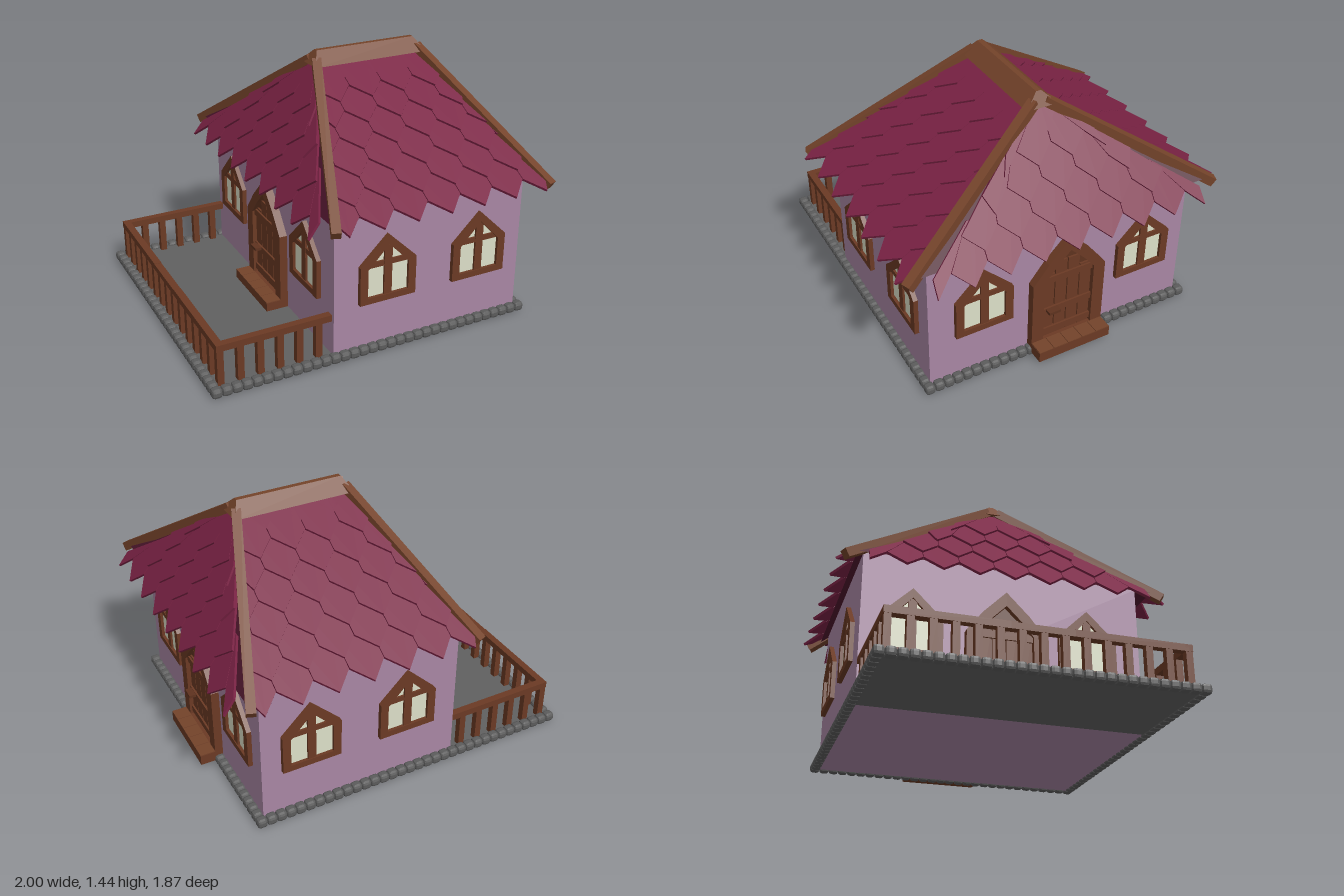
import * as THREE from 'three';
import { mergeGeometries } from 'three/addons/utils/BufferGeometryUtils.js';
import { RoundedBoxGeometry } from 'three/addons/geometries/RoundedBoxGeometry.js';
import { ConvexGeometry } from 'three/addons/geometries/ConvexGeometry.js';

const mat = (color, side = THREE.FrontSide) => new THREE.MeshStandardMaterial({ color, side, flatShading: true });
const WALL = mat(0xa886a4), ROOF = mat(0x7a2244), UNDER = mat(0x4d162c, THREE.DoubleSide), WOOD = mat(0x6b3a24),
  PLANK = mat(0x5e321f), BEAM = mat(0x74432a), STONE = mat(0x5c5c5c), FLOOR = mat(0x606060), GLASS = mat(0xdcdfc8);
const V = (x, y, z) => new THREE.Vector3(x, y, z);

function add(parent, name, geometry, material) {
  const m = new THREE.Mesh(geometry, material);
  m.name = name;
  parent.add(m);
  return m;
}

// Box given by its min and max corners
function box(x0, x1, y0, y1, z0, z1) {
  return new THREE.BoxGeometry(x1 - x0, y1 - y0, z1 - z0)
    .translate((x0 + x1) / 2, (y0 + y1) / 2, (z0 + z1) / 2);
}

// Symmetric outline from its right half, listed bottom to peak
function outline(half) {
  const left = half.filter(([x]) => x > 0).map(([x, y]) => [-x, y]).reverse();
  return [...half, ...left].map(([x, y]) => new THREE.Vector2(x, y));
}

function plate(half, depth, holeHalf) {
  const shape = new THREE.Shape(outline(half));
  if (holeHalf) shape.holes.push(new THREE.Path(outline(holeHalf)));
  return new THREE.ExtrudeGeometry(shape, { depth, bevelEnabled: false });
}

function makeWindow() {
  const g = new THREE.Group();
  g.name = 'window';
  const inner = [[0.12, 0.335], [0.12, 0.5], [0, 0.625]];
  add(g, 'windowFrame', plate([[0.165, 0.3], [0.165, 0.52], [0, 0.68]], 0.025, inner), WOOD);
  add(g, 'windowPane', plate(inner, 0.008), GLASS);
  add(g, 'windowMullion', box(-0.023, 0.023, 0.33, 0.62, 0, 0.02), WOOD);
  add(g, 'windowCrossbar', box(-0.12, 0.12, 0.505, 0.535, 0, 0.019), WOOD);
  return g;
}

function makeDoor() {
  const g = new THREE.Group();
  g.name = 'door';
  const inner = [[0.15, 0.06], [0.15, 0.475], [0.08, 0.56], [0, 0.64]];
  add(g, 'doorFrame', plate([[0.22, 0.02], [0.22, 0.475], [0.13, 0.59], [0, 0.72]], 0.045, inner), WOOD);
  add(g, 'doorBack', plate(inner, 0.012), PLANK);
  // Vertical planks reach up under the pointed arch
  for (let i = 0; i < 4; i++) {
    const x = -0.15 + i * 0.075;
    const top = i === 0 || i === 3 ? 0.5 : 0.57;
    add(g, 'doorPlank', box(x + 0.003, x + 0.072, 0.06, top, 0, 0.022), WOOD);
  }
  for (const y of [0.1, 0.24, 0.45])
    add(g, 'doorCrossbar', box(-0.15, 0.15, y, y + 0.04, 0, 0.032), WOOD);
  add(g, 'doorHandle', box(-0.13, -0.06, 0.262, 0.278, 0.03, 0.07), PLANK);
  add(g, 'doorStep', box(-0.22, 0.22, 0.02, 0.08, 0, 0.13), WOOD);
  // Plank boards on the step
  for (let i = 0; i < 5; i++)
    add(g, 'stepBoard', box(-0.218 + i * 0.088, -0.134 + i * 0.088, 0.078, 0.084, 0.045, 0.13), BEAM);
  return g;
}

function place(parent, part, x, z, turn) {
  part.position.set(x, 0, z);
  part.rotation.y = turn;
  parent.add(part);
}

// One slope of overlapping pointed shingles, trimmed along the hips
function shingleSlope(topMid, bottomMid, halfTop, halfBottom, rows) {
  const up = topMid.clone().sub(bottomMid);
  const L = up.length();
  up.normalize();
  const flat = V(bottomMid.x - topMid.x, 0, bottomMid.z - topMid.z).normalize();
  const u = V(0, 1, 0).cross(flat).normalize();
  const n = u.clone().cross(up);
  const basis = new THREE.Matrix4().makeBasis(u, up, n).setPosition(topMid);
  const pitch = L / rows, w = 0.195, point = 0.1, parts = [];
  for (let r = 0; r < rows; r++) {
    const tip = -L + r * pitch;
    const top = Math.min(tip + pitch + point + 0.06, 0);
    const side = Math.min(tip + point, top - 0.01);
    const limit = (y) => halfTop + (halfBottom - halfTop) * (-y / L) + 0.02;
    const shift = r % 2 ? 0.5 : 0;
    for (let i = -6; i <= 6; i++) {
      const c = (i + shift) * w;
      if (Math.abs(c) > limit(side) + w * 0.3) continue;
      const pts = [[c, tip], [c + w * 0.49, side], [c + w * 0.49, top], [c - w * 0.49, top], [c - w * 0.49, side]]
        .map(([x, y]) => new THREE.Vector2(THREE.MathUtils.clamp(x, -limit(y), limit(y)), y - top));
      const clean = pts.filter((p, k) => p.distanceTo(pts[(k + 1) % pts.length]) > 1e-4);
      if (clean.length < 3) continue;
      const geo = new THREE.ExtrudeGeometry(new THREE.Shape(clean), { depth: 0.014, bevelEnabled: false });
      geo.rotateX(-0.08).translate(0, top, -0.006);
      parts.push(geo.applyMatrix4(basis));
    }
  }
  return mergeGeometries(parts);
}

// Square beam between two points, with one face turned to the sky
function beam(a, b, width, height) {
  const dir = b.clone().sub(a);
  const x = dir.clone().cross(V(0, 1, 0)).normalize();
  const z = dir.clone().normalize();
  const y = z.clone().cross(x);
  const m = new THREE.Matrix4().makeBasis(x, y, z).setPosition(a.clone().add(b).multiplyScalar(0.5));
  return new THREE.BoxGeometry(width, height, dir.length()).applyMatrix4(m);
}

function makeRoof() {
  const g = new THREE.Group();
  g.name = 'roof';
  const cx = 0.27, topY = 1.375;
  for (const s of [1, -1]) {
    add(g, 'longSlopeShingles', shingleSlope(V(cx, topY, 0), V(cx, 0.78, s * 0.92), 0.3, 0.64, 7), ROOF);
    add(g, 'endSlopeShingles', shingleSlope(V(cx + s * 0.3, topY, 0), V(cx + s * 0.71, 0.735, 0), 0, 0.87, 5), ROOF);
  }
  // Thin sheathing under the shingles
  const e = [V(cx - 0.64, 0.835, 0.83), V(cx + 0.64, 0.835, 0.83), V(cx + 0.64, 0.835, -0.83), V(cx - 0.64, 0.835, -0.83)];
  const a = V(cx - 0.3, 1.36, 0), b = V(cx + 0.3, 1.36, 0);
  const tris = [e[0], e[1], b, e[0], b, a, e[2], e[3], a, e[2], a, b, e[1], e[2], b, e[3], e[0], a];
  const sheath = new THREE.BufferGeometry().setFromPoints(tris);
  sheath.computeVertexNormals();
  add(g, 'roofSheathing', sheath, UNDER);
  // Hip beams and the ridge cap
  for (const sx of [1, -1]) for (const sz of [1, -1])
    add(g, 'hipBeam', beam(V(cx + sx * 0.31, 1.385, sz * 0.03), V(cx + sx * 0.64, 0.805, sz * 0.895), 0.05, 0.05), BEAM);
  const cap = [];
  for (const sx of [1, -1]) for (const sz of [1, -1])
    cap.push(V(cx + sx * 0.345, 1.365, sz * 0.09), V(cx + sx * 0.3, 1.437, sz * 0.014));
  add(g, 'ridgeCap', new ConvexGeometry(cap), BEAM);
  return g;
}

function makeBorder() {
  const x0 = -0.97, x1 = 0.85, z0 = -0.81, z1 = 0.775, parts = [];
  const stone = (x, z) => parts.push(new RoundedBoxGeometry(0.056, 0.052, 0.054, 1, 0.016).translate(x, 0.026, z));
  for (let i = 0; i <= 33; i++) for (const z of [z0, z1]) stone(x0 + (x1 - x0) * i / 33, z);
  for (let i = 1; i < 29; i++) for (const x of [x0, x1]) stone(x, z0 + (z1 - z0) * i / 29);
  return mergeGeometries(parts);
}

function makeRailing() {
  const g = new THREE.Group();
  g.name = 'railing';
  const x0 = -0.927, z0 = -0.77, z1 = 0.72, t = 0.018;
  const post = (x, z) => add(g, 'railPost', box(x - t, x + t, 0.02, 0.24, z - t, z + t), WOOD);
  for (const z of [z0, z1]) {
    add(g, 'sideRail', box(x0 - 0.02, -0.31, 0.228, 0.265, z - 0.02, z + 0.02), WOOD);
    for (let i = 0; i < 6; i++) post(x0 + i * 0.109, z);
  }
  // Outer rail in three lengths
  const cuts = [z0, -0.19, 0.13, z1];
  for (let i = 0; i < 3; i++)
    add(g, 'outerRail', box(x0 - 0.02, x0 + 0.02, 0.228, i === 1 ? 0.262 : 0.265, cuts[i], cuts[i + 1]), WOOD);
  for (let i = 1; i < 14; i++) post(x0, z0 + (z1 - z0) * i / 14);
  return g;
}

export function createModel() {
  const house = new THREE.Group();
  house.name = 'cottage';
  const L = -0.31, R = 0.83, B = -0.79, F = 0.76;
  add(house, 'walls', box(L, R, 0.012, 0.87, B, F), WALL);
  add(house, 'porchFloor', box(-0.97, L, 0.012, 0.03, -0.81, 0.775), FLOOR);
  add(house, 'stoneBorder', makeBorder(), STONE);
  house.add(makeRailing(), makeRoof());

  // Two windows on each long wall
  for (const x of [-0.005, 0.555]) {
    place(house, makeWindow(), x, F, 0);
    place(house, makeWindow(), x, B, Math.PI);
  }
  // A door between two windows on each end wall
  for (const [x, turn] of [[R, Math.PI / 2], [L, -Math.PI / 2]]) {
    for (const z of [0.45, -0.52]) place(house, makeWindow(), x, z, turn);
    place(house, makeDoor(), x, turn > 0 ? -0.04 : -0.015, turn);
  }
  return house;
}
